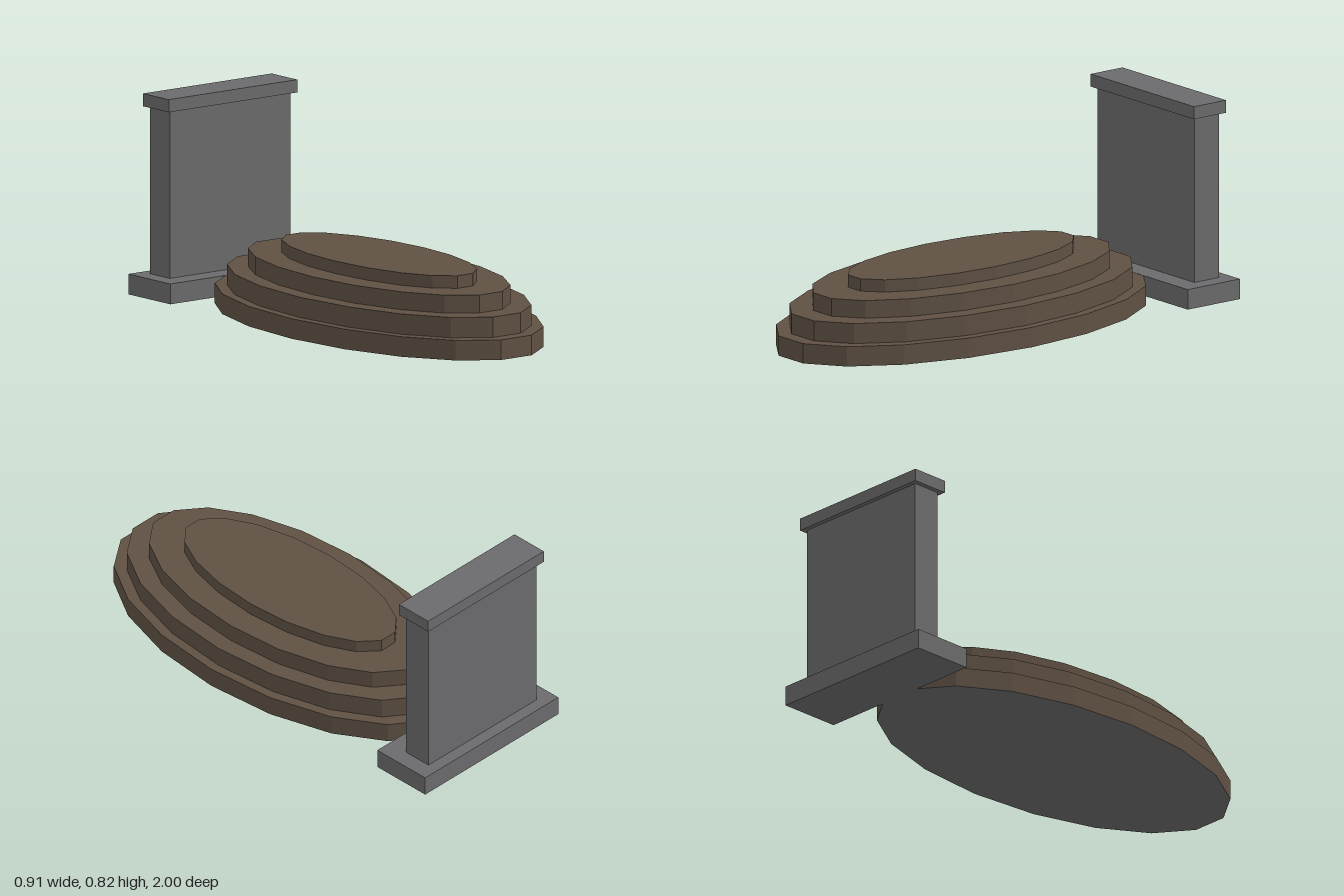
import * as THREE from 'three';

export function createModel() {
  const model = new THREE.Group();
  model.name = 'graveMoundWithHeadstone';

  const earth = new THREE.MeshStandardMaterial({ color: 0x5f5144, flatShading: true });
  earth.name = 'earthBrown';
  const stone = new THREE.MeshStandardMaterial({ color: 0x6b6b6d, flatShading: true });
  stone.name = 'stoneGrey';

  // Earth mound: stacked 18-sided oval tiers
  const mound = new THREE.Group();
  mound.name = 'mound';
  mound.position.z = 0.127;
  model.add(mound);
  // [radius x, radius z, bottom, top]
  const tiers = [
    [0.453, 0.8865, 0, 0.082],
    [0.413, 0.825, 0.082, 0.165],
    [0.34, 0.7225, 0.165, 0.238],
    [0.228, 0.556, 0.238, 0.289],
  ];
  tiers.forEach(([rx, rz, y0, y1], i) => {
    // The start angle puts a corner at each side and a flat at each end
    const geometry = new THREE.CylinderGeometry(1, 1, y1 - y0, 18, 1, false, Math.PI / 18);
    geometry.scale(rx, 1, rz);
    // Wall and top are earth, the underside is stone
    const tier = new THREE.Mesh(geometry, [earth, earth, stone]);
    tier.name = `moundTier${i + 1}`;
    tier.position.y = (y0 + y1) / 2;
    mound.add(tier);
  });

  // Headstone: plinth, upright slab and overhanging cap
  const headstone = new THREE.Group();
  headstone.name = 'headstone';
  model.add(headstone);
  const block = (name, width, y0, y1, z0, z1) => {
    const mesh = new THREE.Mesh(new THREE.BoxGeometry(width, y1 - y0, z1 - z0), stone);
    mesh.name = name;
    mesh.position.set(0, (y0 + y1) / 2, (z0 + z1) / 2);
    headstone.add(mesh);
  };
  block('headstoneBase', 0.762, 0, 0.083, -1, -0.732);
  block('headstoneSlab', 0.62, 0.083, 0.766, -0.949, -0.823);
  block('headstoneCap', 0.662, 0.766, 0.818, -0.968, -0.804);

  return model;
}
